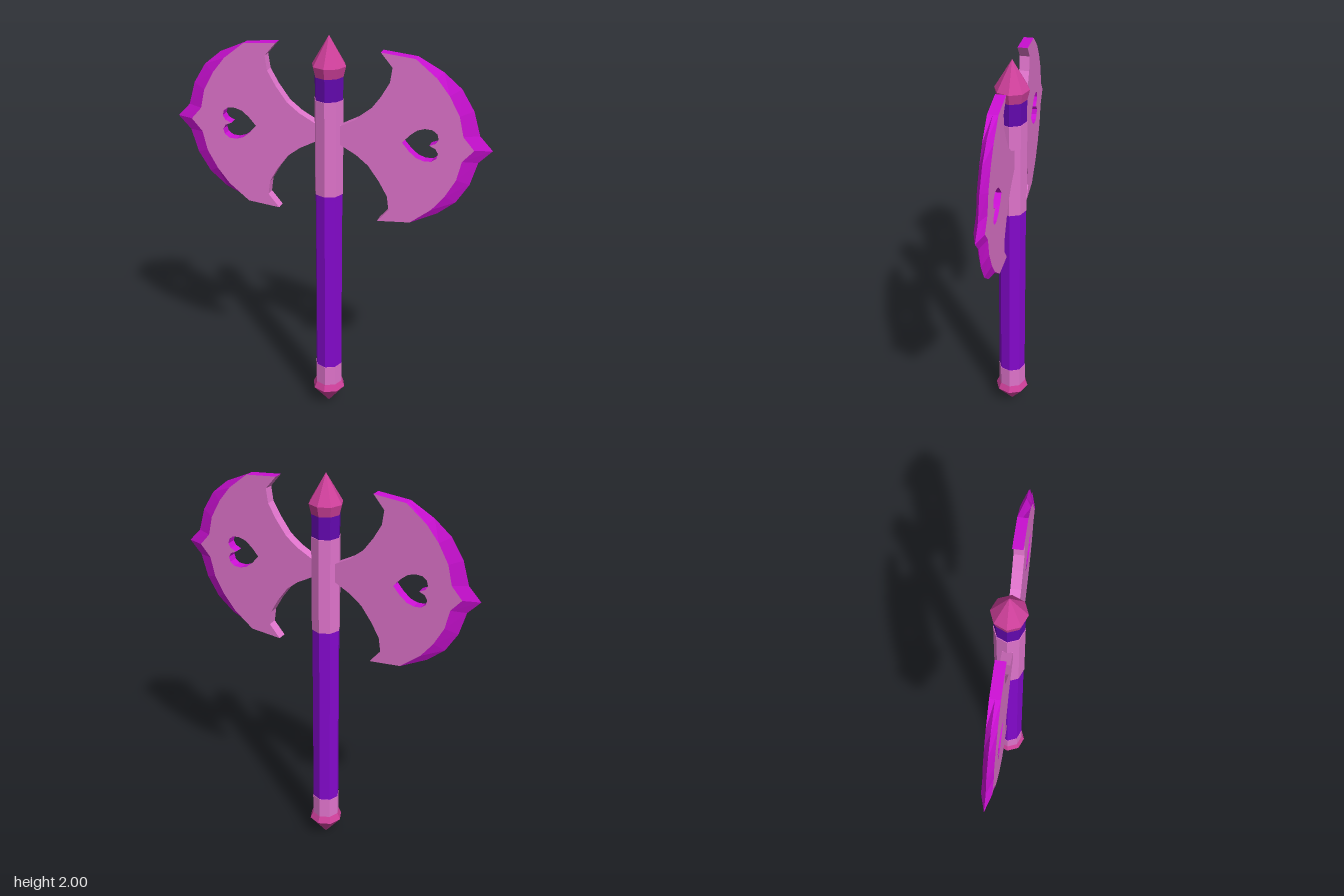
import * as THREE from 'three';

const SIDES = 8, MID = 1.532, HALF = 0.024;
const PINK = 0xe074cc, PURPLE = 0x8408cc, MAGENTA = 0xcc10d4, ROSE = 0xd0409c;

const material = (color) => new THREE.MeshStandardMaterial({ color, flatShading: true });

function add(parent, name, geometry, color) {
  const mesh = new THREE.Mesh(geometry, material(color));
  mesh.name = name;
  parent.add(mesh);
  return mesh;
}

// Eight-sided turned part from [radius, height] pairs, bottom to top
const turned = (profile) =>
  new THREE.LatheGeometry(profile.map(([r, y]) => new THREE.Vector2(r, y)), SIDES);

// Faceted walls joining successive [outline, z] rows
function walls(rows) {
  const pos = [];
  for (let r = 0; r < rows.length - 1; r++) {
    const [a, za] = rows[r], [b, zb] = rows[r + 1];
    for (let i = 0; i < a.length - 1; i++) {
      const a0 = [...a[i], za], a1 = [...a[i + 1], za];
      const b0 = [...b[i], zb], b1 = [...b[i + 1], zb];
      pos.push(...a0, ...a1, ...b0, ...a1, ...b1, ...b0);
    }
  }
  const g = new THREE.BufferGeometry();
  g.setAttribute('position', new THREE.Float32BufferAttribute(pos, 3));
  g.computeVertexNormals();
  return g;
}

// Completes an upper half outline whose last point lies on the mirror line
const mirrored = (half) => [
  ...half,
  ...half.slice(0, -1).reverse().map(([x, y]) => [x, -y]),
];

function createBlade() {
  const blade = new THREE.Group();

  // Sharp edge, and the line where its bevel meets the flat cheek
  const edge = mirrored([[0.25, 0.415], [0.41, 0.4], [0.535, 0.345], [0.62, 0.275],
    [0.68, 0.178], [0.713, 0.065], [0.775, 0]]);
  const bevel = mirrored([[0.25, 0.415], [0.41, 0.4], [0.51, 0.32], [0.57, 0.245],
    [0.62, 0.155], [0.642, 0.06], [0.695, 0]]);

  // Inner curve from the lower horn through the neck to the upper horn
  const upper = [[0.02, 0.045], [0.065, 0.048], [0.14, 0.088], [0.2, 0.135], [0.255, 0.21],
    [0.295, 0.28], [0.305, 0.35], [0.25, 0.415]];
  const inner = [...upper.slice().reverse().map(([x, y]) => [x, -y]), ...upper];

  // Heart cut-out, counterclockwise
  const heart = mirrored([[0.36, 0], [0.395, 0.04], [0.43, 0.068], [0.465, 0.079], [0.5, 0.077],
    [0.523, 0.06], [0.53, 0.035], [0.517, 0.013], [0.488, 0]]).reverse();
  const heartLoop = heart;

  const toVectors = (pts) => pts.map(([x, y]) => new THREE.Vector2(x, y));
  const shape = new THREE.Shape(toVectors([...bevel, ...inner.slice(1, -1)]));
  shape.holes.push(new THREE.Path(toVectors(heartLoop.slice(0, -1))));

  const front = new THREE.ShapeGeometry(shape).translate(0, 0, HALF);
  const back = front.clone().rotateX(Math.PI);
  add(blade, 'frontCheek', front, PINK);
  add(blade, 'backCheek', back, PINK);
  add(blade, 'innerCurve', walls([[inner, HALF], [inner, -HALF]]), PINK);
  add(blade, 'cuttingEdge', walls([[bevel, HALF], [edge, 0], [bevel, -HALF]]), MAGENTA);
  add(blade, 'heartCutoutWall', walls([[heartLoop, HALF], [heartLoop, -HALF]]), MAGENTA);
  blade.position.y = MID;
  return blade;
}

export function createModel() {
  const model = new THREE.Group();
  model.name = 'doubleAxe';

  // Handle, bottom to top
  add(model, 'pommel', turned([[0, 0], [0.085, 0.105], [0.07, 0.14], [0, 0.14]]), ROSE);
  add(model, 'lowerCuff', turned([[0, 0.139], [0.07, 0.139], [0.07, 0.25], [0, 0.25]]), PINK);
  add(model, 'grip', turned([[0.068, 0.25], [0.068, 1.225]]), PURPLE);
  add(model, 'bladeSocket', turned([[0, 1.225], [0.071, 1.225], [0.071, 1.7], [0, 1.7]]), PINK);
  add(model, 'upperBand', turned([[0.068, 1.7], [0.07, 1.811]]), 0x6408b0);
  add(model, 'topSpike', turned([[0, 1.81], [0.07, 1.81], [0.082, 1.86], [0, 2]]), ROSE);

  // Twin blades
  ['leftBlade', 'rightBlade'].forEach((name, i) => {
    const blade = createBlade();
    blade.name = name;
    blade.rotation.y = i * Math.PI;
    model.add(blade);
  });
  return model;
}
